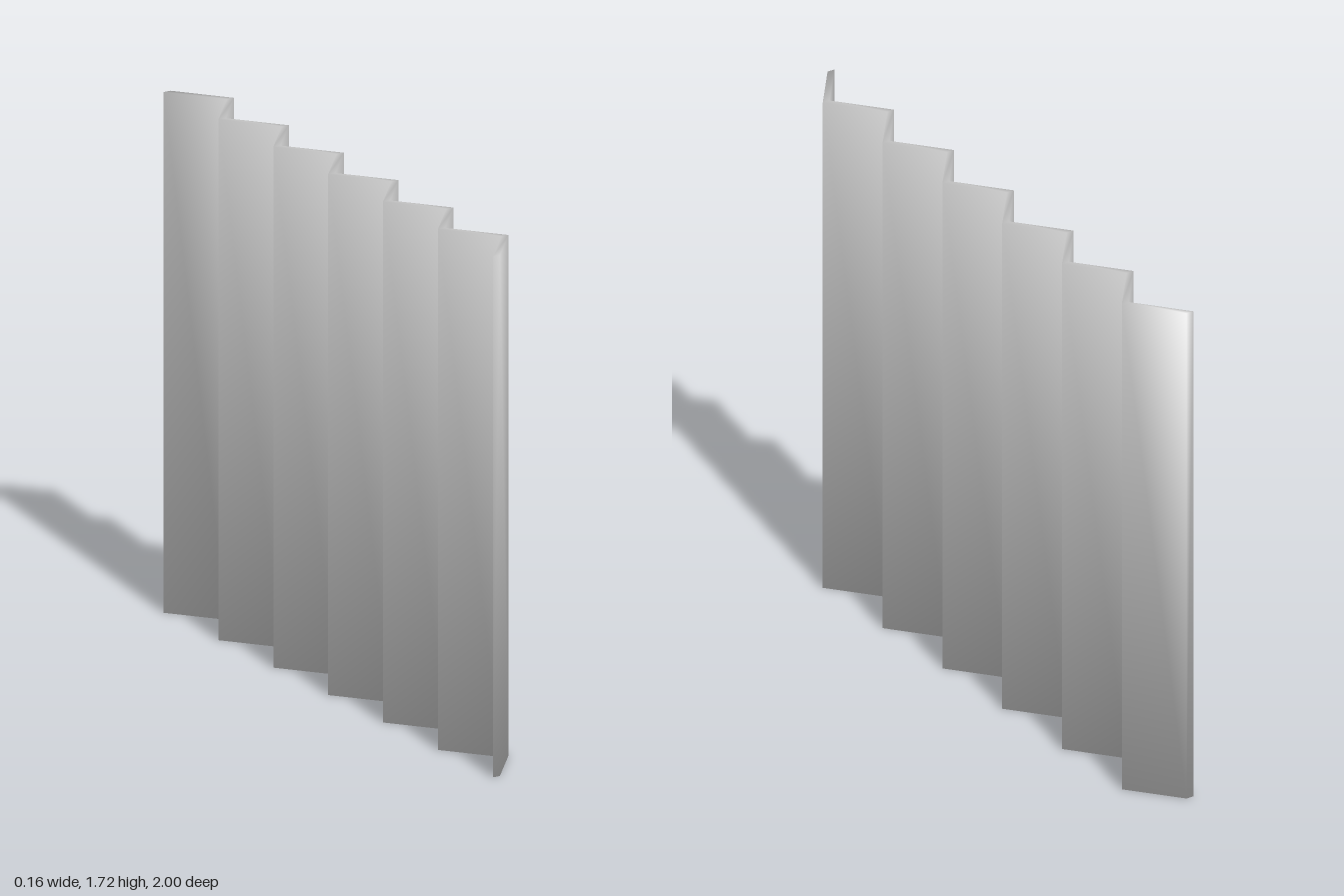
import * as THREE from 'three';

const PANELS = 12, LENGTH = 2, HEIGHT = 1.715, HALF_DEPTH = 0.079, THICKNESS = 0.026;

// Smooth normals shared across every edge, each face weighted by its corner angle
function setAngleWeightedNormals(geometry) {
  const pos = geometry.attributes.position, index = geometry.index;
  const normals = Array.from({ length: pos.count }, () => new THREE.Vector3());
  for (let t = 0; t < index.count; t += 3) {
    const ids = [0, 1, 2].map(j => index.getX(t + j));
    const p = ids.map(i => new THREE.Vector3().fromBufferAttribute(pos, i));
    const face = new THREE.Triangle(...p).getNormal(new THREE.Vector3());
    ids.forEach((id, j) => {
      const e1 = p[(j + 1) % 3].clone().sub(p[j]);
      const e2 = p[(j + 2) % 3].clone().sub(p[j]);
      normals[id].addScaledVector(face, e1.angleTo(e2));
    });
  }
  const flat = normals.flatMap(n => n.normalize().toArray());
  geometry.setAttribute('normal', new THREE.Float32BufferAttribute(flat, 3));
}

// Rectangular cross-sections at each fold, joined into one zigzag wall
function pleatedGeometry() {
  const points = [], faces = [];
  const quad = (a, b, c, d) => faces.push(a, b, c, a, c, d);
  for (let i = 0; i <= PANELS; i++) {
    const z = -LENGTH / 2 + (LENGTH * i) / PANELS;
    const x0 = i % 2 ? HALF_DEPTH - THICKNESS : -HALF_DEPTH;
    const x1 = x0 + THICKNESS;
    points.push(x0, 0, z, x1, 0, z, x1, HEIGHT, z, x0, HEIGHT, z);
    if (i === PANELS) break;
    for (let k = 0; k < 4; k++) {
      const a = i * 4 + k, b = i * 4 + ((k + 1) % 4);
      quad(a, b, b + 4, a + 4);
    }
  }
  // End caps
  const n = PANELS * 4;
  quad(3, 2, 1, 0);
  quad(n, n + 1, n + 2, n + 3);

  const geometry = new THREE.BufferGeometry();
  geometry.setAttribute('position', new THREE.Float32BufferAttribute(points, 3));
  geometry.setIndex(faces);
  setAngleWeightedNormals(geometry);
  return geometry;
}

export function createModel() {
  const group = new THREE.Group();
  group.name = 'foldingScreen';
  const wall = new THREE.Mesh(pleatedGeometry(), new THREE.MeshStandardMaterial({ color: 0xcccccc }));
  wall.name = 'pleatedPanels';
  group.add(wall);
  return group;
}
